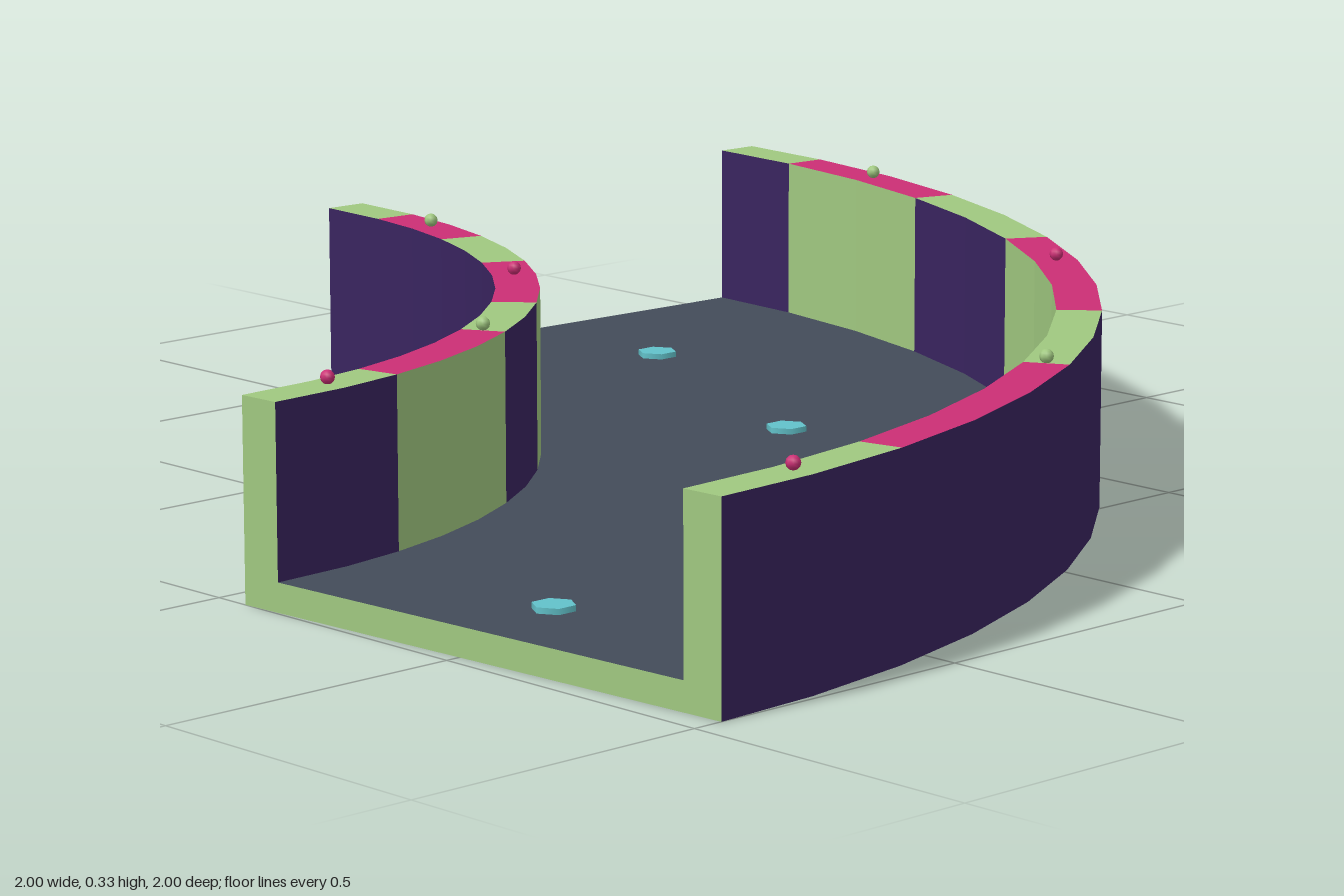
import * as THREE from 'three';

const STEPS = 15;            // 6 degree segments through a quarter turn
const RADIUS = 1.505;        // centre line of the track
const CENTRE = 0.975;        // turning point sits at (-CENTRE, CENTRE)
const HALF = 0.471, WALL = 0.07, FLOOR = 0.045, TOP = 0.31;
const INNER = HALF - WALL;

// point on the centre line plus an offset across the track
function place(deg, offset, y, normalDeg = deg) {
  const a = THREE.MathUtils.degToRad(deg), n = THREE.MathUtils.degToRad(normalDeg);
  return new THREE.Vector3(
    -CENTRE + RADIUS * Math.sin(a) + offset * Math.sin(n), y,
    CENTRE - RADIUS * Math.cos(a) - offset * Math.cos(n));
}

// cross-section point at a step; the end sections follow the end segments
function section(i, [offset, y]) {
  return place(i * 6, offset, y, THREE.MathUtils.clamp(i * 6, 3, 87));
}

function quads(list) {
  const points = list.flatMap(([a, b, c, d]) => [a, b, c, a, c, d]);
  const geometry = new THREE.BufferGeometry().setFromPoints(points);
  geometry.computeVertexNormals();
  return geometry;
}

// faceted band swept from one profile point to the next
function sweep(p, q, from, to) {
  const list = [];
  for (let i = from; i < to; i++) {
    list.push([section(i, p), section(i + 1, p), section(i + 1, q), section(i, q)]);
  }
  return quads(list);
}

function endCap(i) {
  const rects = [[-HALF, -INNER, 0, TOP], [-INNER, INNER, 0, FLOOR], [INNER, HALF, 0, TOP]];
  return quads(rects.map(([u0, u1, y0, y1]) => {
    const corners = [[u0, y0], [u0, y1], [u1, y1], [u1, y0]].map(p => section(i, p));
    return i === 0 ? corners : corners.reverse();
  }));
}

export function createModel() {
  const group = new THREE.Group();
  const material = (name, color) => {
    const m = new THREE.MeshStandardMaterial({ color });
    m.name = name;
    return m;
  };
  const purple = material('deep purple', 0x39245f);
  const green = material('soft green', 0xa0c880);
  const pink = material('magenta', 0xcc2f75);
  const slate = material('slate', 0x434b59);
  const cyan = material('cyan', 0x62c2ca);

  const add = (name, geometry, mat) => {
    const mesh = new THREE.Mesh(geometry, mat);
    mesh.name = name;
    group.add(mesh);
    return mesh;
  };

  // road bed and outer shell
  add('roadSurface', sweep([-INNER, FLOOR], [INNER, FLOOR], 0, STEPS), slate);
  add('underside', sweep([HALF, 0], [-HALF, 0], 0, STEPS), purple);
  add('outerShell', sweep([HALF, TOP], [HALF, 0], 0, STEPS), purple);
  add('innerShell', sweep([-HALF, 0], [-HALF, TOP], 0, STEPS), purple);
  add('startCap', endCap(0), green);
  add('finishCap', endCap(STEPS), green);

  // alternating blocks along both walls
  const marks = [0, 1, 3, 5, 8, 10, 13, 15];
  for (let k = 0; k < marks.length - 1; k++) {
    const from = marks[k], to = marks[k + 1], odd = k % 2 === 1;
    const rim = odd ? pink : green, panel = odd ? green : purple;
    add('outerRim', sweep([INNER, TOP], [HALF, TOP], from, to), rim);
    add('innerRim', sweep([-HALF, TOP], [-INNER, TOP], from, to), rim);
    add('outerWallPanel', sweep([INNER, FLOOR], [INNER, TOP], from, to), panel);
    add('innerWallPanel', sweep([-INNER, TOP], [-INNER, FLOOR], from, to), panel);
  }

  // floor studs and small beads on the rims
  const stud = new THREE.CylinderGeometry(0.033, 0.033, 0.01, 6);
  const bead = new THREE.SphereGeometry(0.011, 8, 6);
  const beadColours = { outer: [green, pink, green, pink], inner: [green, pink, green, pink] };
  [12, 36, 60, 84].forEach((deg, k) => {
    add('floorStud', stud, cyan).position.copy(place(deg, 0, FLOOR + 0.004));
    const mid = HALF - WALL / 2;
    add('outerBead', bead, beadColours.outer[k]).position.copy(place(deg, mid, TOP + 0.011));
    add('innerBead', bead, beadColours.inner[k]).position.copy(place(deg, -mid, TOP + 0.011));
  });
  return group;
}
